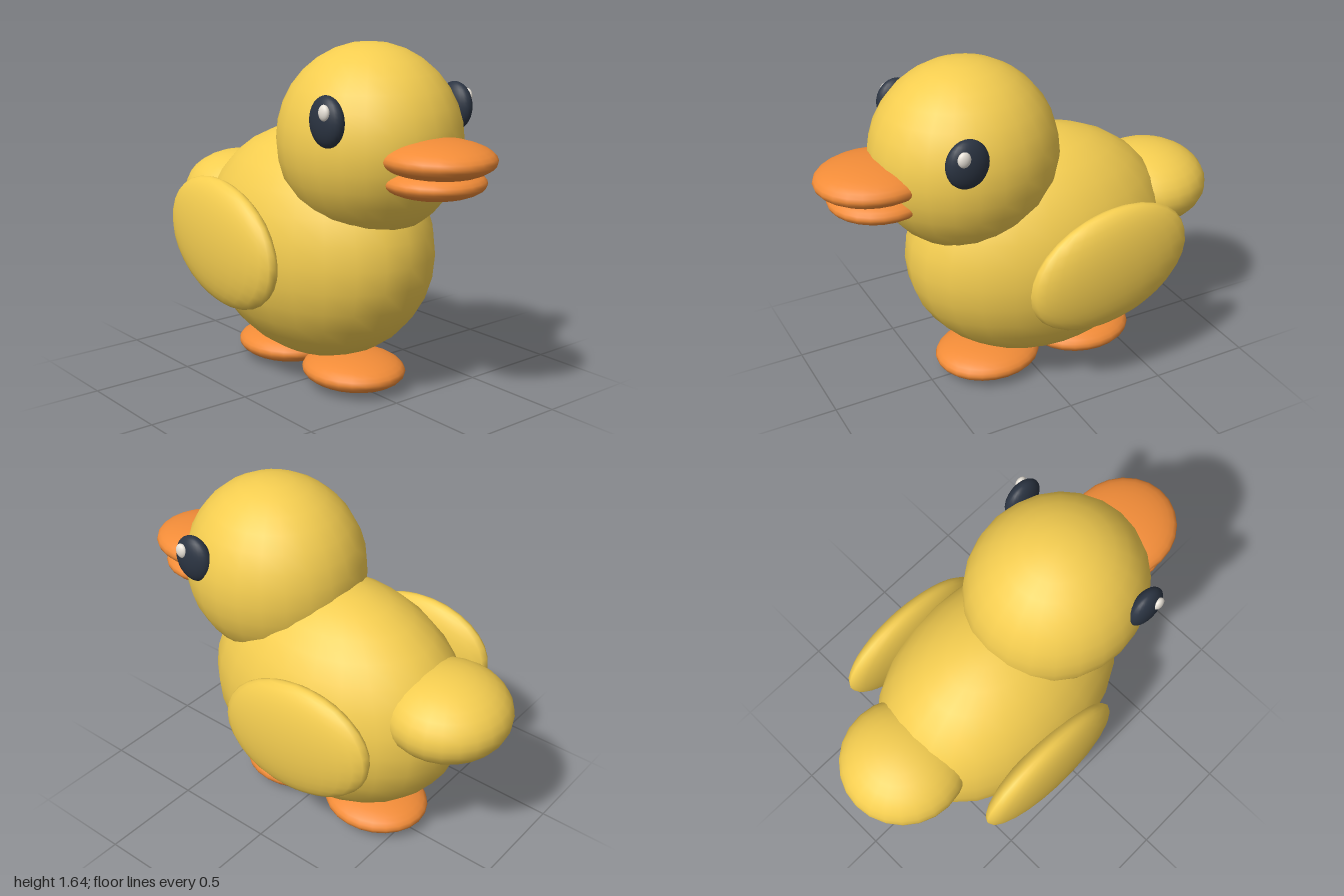
import * as THREE from 'three';

const mat = (color) => new THREE.MeshStandardMaterial({ color });

export function createModel() {
  const duck = new THREE.Group();
  duck.name = 'duckling';

  const yellow = mat(0xf4cd50);
  const orange = mat(0xf28c38);
  const dark = mat(0x2b3442);
  const white = mat(0xe8e2d8);
  const ball = new THREE.SphereGeometry(1, 24, 16);

  // every part is a stretched ball: centre, radii, tilt about z
  function blob(name, material, centre, radii, tilt = 0) {
    const mesh = new THREE.Mesh(ball, material);
    mesh.name = name;
    mesh.position.set(...centre);
    mesh.scale.set(...radii);
    mesh.rotation.z = tilt;
    duck.add(mesh);
  }

  // body, head and tail
  blob('body', yellow, [-0.09, 0.667, 0], [0.672, 0.565, 0.47]);
  blob('head', yellow, [0.295, 1.205, 0], [0.44, 0.44, 0.412]);
  blob('tail', yellow, [-0.7, 0.822, 0], [0.3, 0.198, 0.3]);

  // beak
  blob('upperBeak', orange, [0.73, 1.182, 0], [0.27, 0.086, 0.246]);
  blob('lowerBeak', orange, [0.715, 1.08, 0], [0.23, 0.072, 0.226]);

  // feet, one behind the other
  blob('frontFoot', orange, [0.193, 0.084, 0], [0.263, 0.083, 0.235]);
  blob('backFoot', orange, [-0.328, 0.084, 0], [0.265, 0.083, 0.235]);

  // mirrored wings and eyes
  for (const s of [1, -1]) {
    const side = s > 0 ? 'right' : 'left';
    blob(side + 'Wing', yellow, [-0.21, 0.7, s * 0.465], [0.417, 0.292, 0.098], -0.237);
    blob(side + 'Eye', dark, [0.455, 1.342, s * 0.376], [0.1, 0.112, 0.052]);
    blob(side + 'EyeGlint', white, [0.488, 1.387, s * 0.418], [0.03, 0.035, 0.019]);
  }

  return duck;
}
